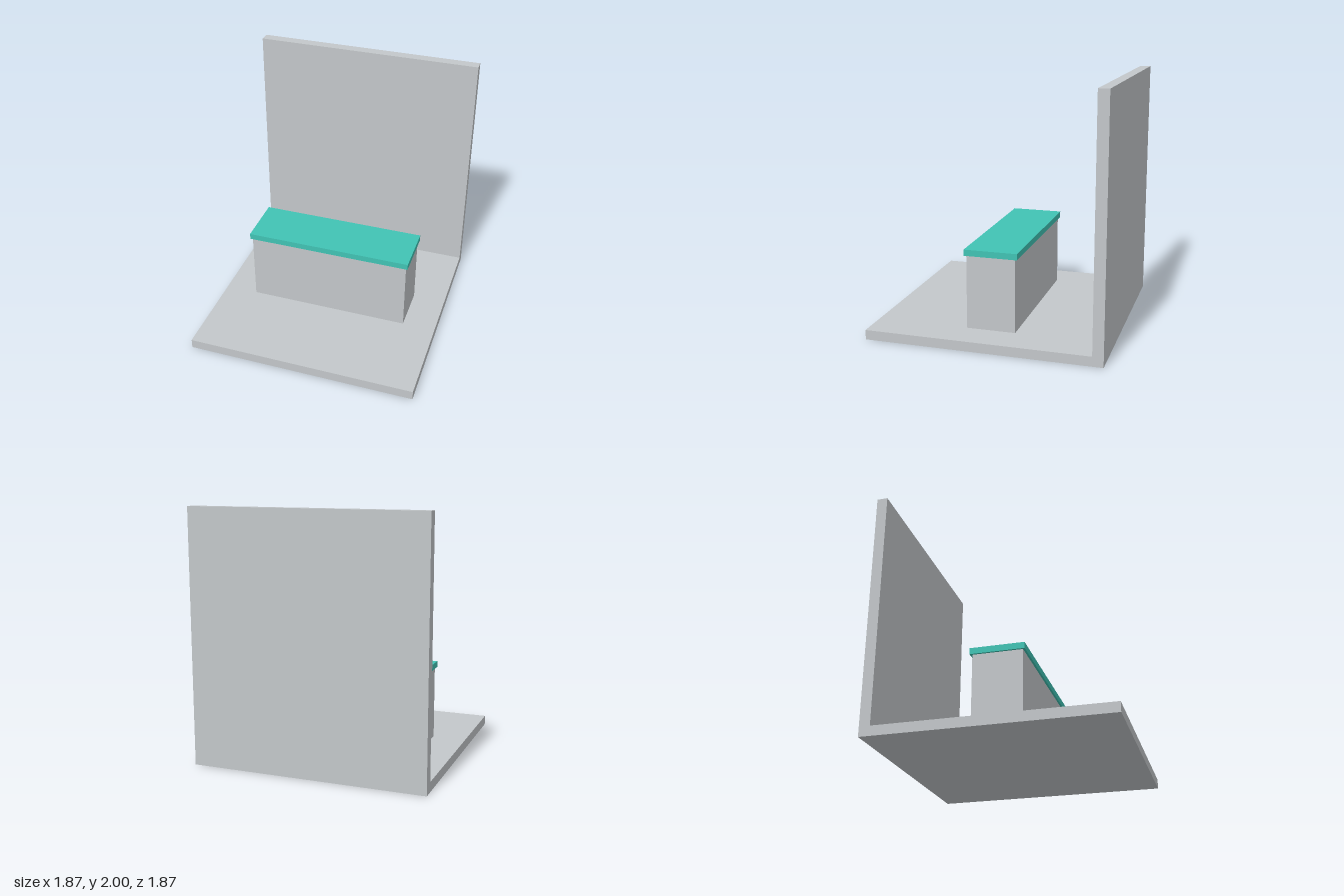
import * as THREE from 'three';

export function createModel() {
  const group = new THREE.Group();
  const grey = new THREE.MeshStandardMaterial({ name: 'light grey', color: 0xc3c7ca });
  const teal = new THREE.MeshStandardMaterial({ name: 'teal', color: 0x41c3b4 });

  const add = (name, geometry, material) => {
    const mesh = new THREE.Mesh(geometry, material);
    mesh.name = name;
    group.add(mesh);
    return mesh;
  };

  // Floor slab and back wall: one L-shaped side profile (z, y) swept across x
  const half = 0.935, floorTop = 0.077, wallFront = -0.85;
  const profile = new THREE.Shape([
    [-half, 0], [half, 0], [half, floorTop],
    [wallFront, floorTop], [wallFront, 2], [-half, 2],
  ].map(([z, y]) => new THREE.Vector2(z, y)));
  const shell = new THREE.ExtrudeGeometry(profile, { depth: 2 * half, bevelEnabled: false });
  shell.translate(0, 0, -half).rotateY(-Math.PI / 2);
  add('floorAndBackWall', shell, grey);

  // Counter body standing on the floor
  const counterTop = 0.665;
  const bodyHeight = counterTop - floorTop;
  add('counterBody', new THREE.BoxGeometry(1.33, bodyHeight, 0.39), grey)
    .position.set(0, floorTop + bodyHeight / 2, 0.002);

  // Overhanging worktop
  const topHeight = 0.049;
  add('counterWorktop', new THREE.BoxGeometry(1.362, topHeight, 0.424), teal)
    .position.set(0, counterTop + topHeight / 2, 0.001);

  return group;
}
